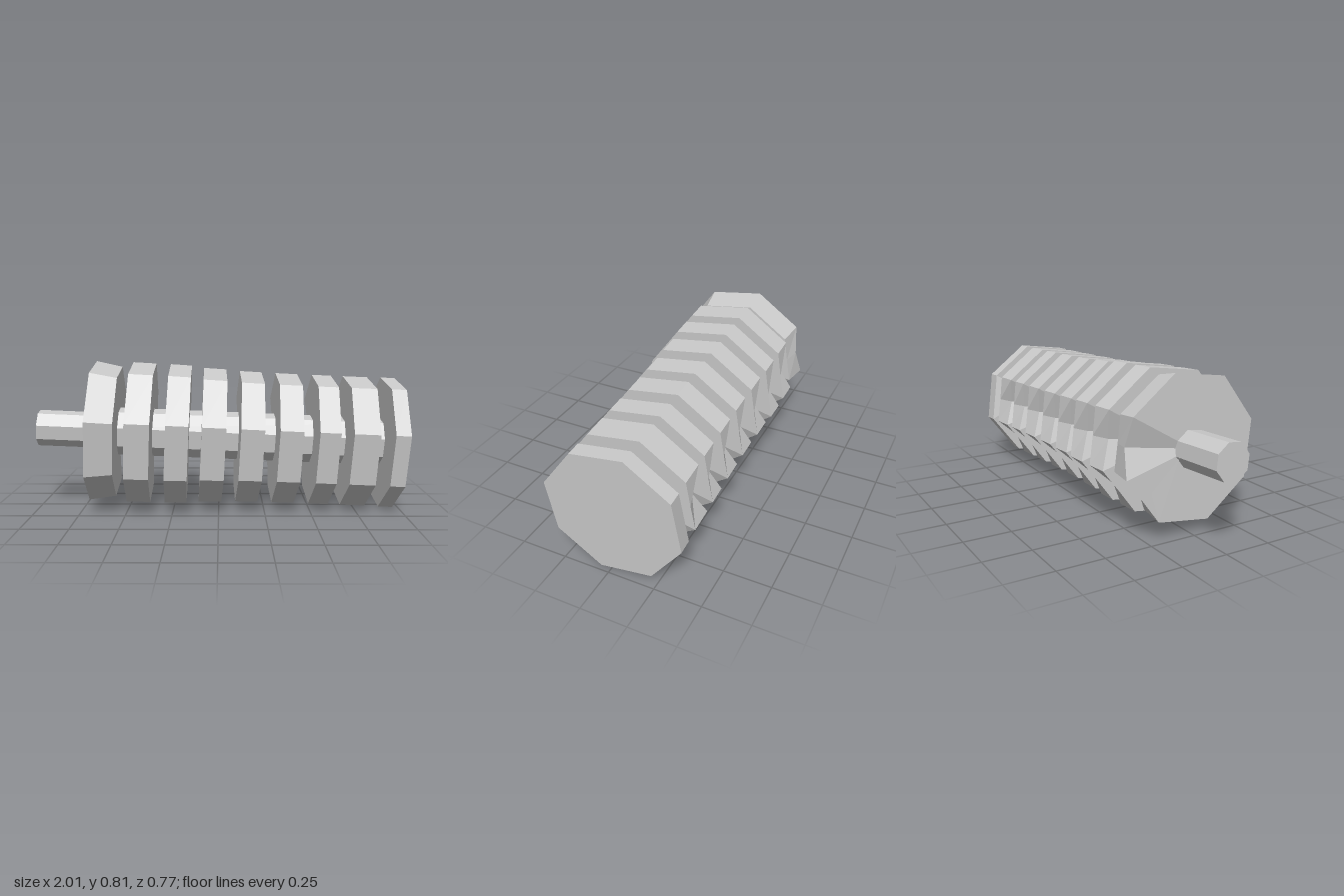
import * as THREE from 'three';

const SIDES = 8, PHASE = THREE.MathUtils.degToRad(14.2);
const material = new THREE.MeshStandardMaterial({ color: 0xcccccc, flatShading: true, side: THREE.DoubleSide });

// Point around the slightly drooping axis; angle runs from the top towards the back
function axisPoint(t, r, angle) {
  const up = r * Math.cos(angle), back = r * Math.sin(angle);
  return [t + 0.045 * up - 0.025 * back, 0.4 - 0.045 * t + up, -0.008 - 0.025 * t - back];
}

function meshFrom(name, points) {
  const geometry = new THREE.BufferGeometry();
  geometry.setAttribute('position', new THREE.Float32BufferAttribute(points.flat(), 3));
  geometry.computeVertexNormals();
  const mesh = new THREE.Mesh(geometry, material);
  mesh.name = name;
  return mesh;
}

// Closed solid around the axis from cross-sections { angle, profile: [[t, r], ...] }
function sweep(name, sections) {
  const points = [];
  const rings = sections.map(s => s.profile.map(([t, r]) => axisPoint(t, r, s.angle)));
  rings.forEach((ring, j) => {
    const next = rings[(j + 1) % rings.length], last = ring.length - 2;
    for (let i = 0; i <= last; i++) {
      if (i < last) points.push(ring[i], ring[i + 1], next[i + 1]);
      if (i > 0) points.push(ring[i], i < last ? next[i + 1] : ring[i + 1], next[i]);
    }
  });
  return meshFrom(name, points);
}

const corner = k => PHASE + (k * Math.PI * 2) / SIDES;

function octagonal(name, profile) {
  return sweep(name, Array.from({ length: SIDES }, (_, k) => ({ angle: corner(k), profile })));
}

// Octagonal disc whose rim dips on two facets at the back
function pinchedDisc(name, left, right, rLeft, rRight, dip) {
  const sections = [];
  const third = (right - left) / 3;
  for (let k = 0; k < SIDES; k++) {
    sections.push({ angle: corner(k), profile: [[left, 0], [left, rLeft], [right, rRight], [right, 0]] });
    if (k === 1) {
      sections.push({ angle: corner(1.5), profile: [[left, 0], [left + third, rLeft * dip], [right, rRight * 0.92], [right, 0]] });
    }
    if (k === 2) {
      sections.push({ angle: corner(2.5), profile: [[left, 0], [left, rLeft * 0.92], [right - third, rRight * 0.86], [right, 0]] });
    }
  }
  return sweep(name, sections);
}

export function createModel() {
  const model = new THREE.Group();
  model.name = 'ribbedRoller';

  // Thin stub, then the thicker core
  model.add(octagonal('shaftStub', [[-0.998, 0], [-0.998, 0.099], [-0.6, 0.099], [-0.6, 0]]));
  model.add(octagonal('core', [[-0.62, 0], [-0.62, 0.132], [0.93, 0.132], [0.93, 0]]));

  // Discs: left, right, left radius, right radius, dip of the rear facet
  const discs = [
    [-0.7, -0.555, 0.388, 0.362, 0.92],
    [-0.495, -0.365, 0.391, 0.389, 0.82],
    [-0.285, -0.165, 0.389, 0.386, 0.82],
    [-0.098, 0.028, 0.376, 0.373, 0.82],
    [0.105, 0.228, 0.367, 0.365, 0.82],
    [0.307, 0.43, 0.364, 0.363, 0.82],
    [0.513, 0.622, 0.363, 0.363, 0.82],
    [0.69, 0.828, 0.363, 0.363, 0.82],
  ];
  discs.forEach((d, i) => model.add(pinchedDisc(`disc${i + 1}`, ...d)));
  model.add(octagonal('endDisc', [[0.905, 0], [0.905, 0.365], [0.985, 0.365], [0.985, 0]]));

  // Wedge rising from the core to the end disc at the back
  const foot = axisPoint(0.83, 0.17, corner(1.5));
  const rimA = axisPoint(0.905, 0.365, corner(1)), rimB = axisPoint(0.905, 0.365, corner(2));
  const root = axisPoint(0.905, 0.132, corner(1));
  model.add(meshFrom('endWedge', [foot, rimB, rimA, root, foot, rimA]));

  // Flap from the stub down to the rim of the first disc
  const start = axisPoint(-0.73, 0.1, corner(2));
  model.add(meshFrom('startFlap', [start, axisPoint(-0.7, 0.388, corner(3)), axisPoint(-0.7, 0.3, corner(2.5))]));

  return model;
}
